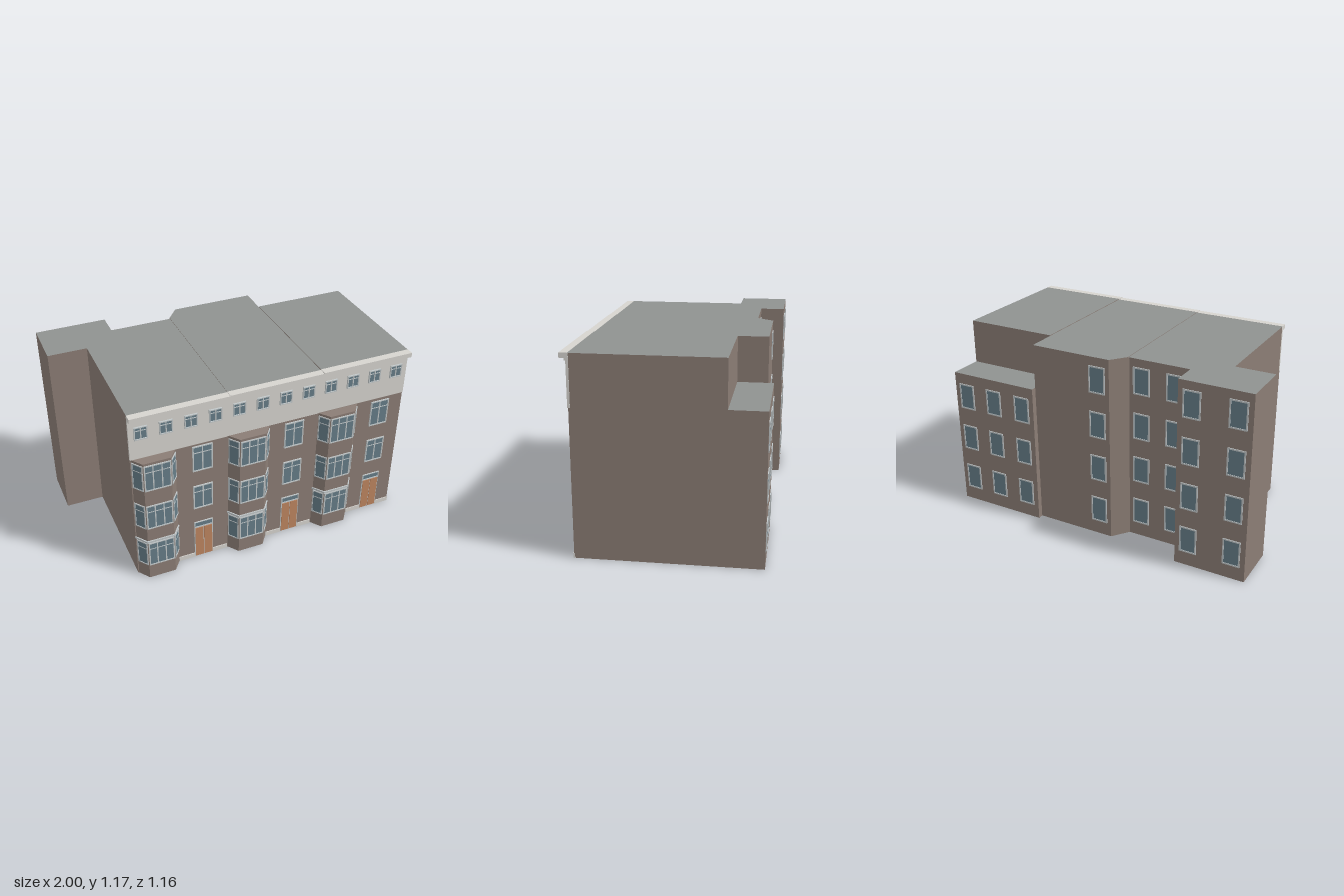
import * as THREE from 'three';

const mat = (color) => new THREE.MeshStandardMaterial({ color });
const brick = mat(0x8b7d75), roofGrey = mat(0x8f9290), white = mat(0xd6d4cf);
const glass = mat(0x667d88), frameGrey = mat(0xc2c8ca), wood = mat(0xbd8560);

const FRONT = 0.505;    // front wall plane
const PITCH = 0.587;    // width of one house in the terrace
const LEFT = -0.76;

function add(parent, name, geometry, material) {
  const mesh = new THREE.Mesh(geometry, material);
  mesh.name = name;
  parent.add(mesh);
  return mesh;
}

// Box given by its limits
function block(parent, name, material, x0, x1, y0, y1, z0, z1) {
  const m = add(parent, name, new THREE.BoxGeometry(x1 - x0, y1 - y0, z1 - z0), material);
  m.position.set((x0 + x1) / 2, (y0 + y1) / 2, (z0 + z1) / 2);
  return m;
}

// Upright prism over a plan of [x, z] points
function prism(parent, name, plan, y0, y1, material) {
  const shape = new THREE.Shape(plan.map(([x, z]) => new THREE.Vector2(x, -z)));
  const g = new THREE.ExtrudeGeometry(shape, { depth: y1 - y0, bevelEnabled: false });
  g.rotateX(-Math.PI / 2).translate(0, y0, 0);
  return add(parent, name, g, material);
}

// Framed window facing +z, centred on its own origin
function makeWindow(name, w, h, { panes = 1, transom = 0, depth = 0.008, bar = 0.007 } = {}) {
  const win = new THREE.Group();
  win.name = name;
  const outer = new THREE.Shape();
  outer.moveTo(-w / 2, -h / 2).lineTo(w / 2, -h / 2).lineTo(w / 2, h / 2).lineTo(-w / 2, h / 2).closePath();
  const hole = new THREE.Path(), a = w / 2 - bar, b = h / 2 - bar;
  hole.moveTo(-a, -b).lineTo(-a, b).lineTo(a, b).lineTo(a, -b).closePath();
  outer.holes.push(hole);
  add(win, 'windowFrame', new THREE.ExtrudeGeometry(outer, { depth, bevelEnabled: false }), frameGrey);
  block(win, 'windowGlass', glass, -a, a, -b, b, 0, depth * 0.4);
  for (let i = 1; i < panes; i++) {
    const x = -w / 2 + (w * i) / panes;
    block(win, 'mullion', frameGrey, x - bar / 2, x + bar / 2, -b, b, 0, depth * 0.8);
  }
  if (transom) {
    const y = h / 2 - h * transom;
    block(win, 'transomBar', frameGrey, -a, a, y - bar / 3, y + bar / 3, 0, depth * 0.7);
  }
  return win;
}

function place(parent, win, x, y, z, turn = 0) {
  win.position.set(x, y, z);
  win.rotation.y = turn;
  parent.add(win);
}

// Three-sided bay with windows on each floor, centred on x = 0
function makeBay() {
  const bay = new THREE.Group();
  bay.name = 'bay';
  const plan = (o) => [[-0.131 - o, FRONT - 0.01], [-0.131 - o, FRONT], [-0.083 - o * 0.6, 0.57 + o],
    [0.083 + o * 0.6, 0.57 + o], [0.131 + o, FRONT], [0.131 + o, FRONT - 0.01]];
  prism(bay, 'bayWall', plan(0), 0, 0.868, brick);
  prism(bay, 'bayLedge', plan(0.007), 0.283, 0.297, frameGrey);
  const turn = Math.atan2(0.065, 0.048);
  for (const [y, h] of [[0.19, 0.175], [0.477, 0.172], [0.763, 0.178]]) {
    place(bay, makeWindow('bayFrontWindow', 0.16, h, { panes: 3, transom: 0.27, depth: 0.006 }), 0, y, 0.57);
    for (const s of [-1, 1])
      place(bay, makeWindow('baySideWindow', 0.074, h, { transom: 0.27, depth: 0.005 }), s * 0.107, y, 0.5375, s * turn);
  }
  return bay;
}

// Double door with a glazed light above, centred on x = 0
function makeDoor() {
  const door = new THREE.Group();
  door.name = 'frontDoor';
  block(door, 'doorFrame', frameGrey, -0.06, 0.06, 0.005, 0.24, FRONT - 0.005, FRONT + 0.004);
  for (const s of [-1, 1]) {
    const c = s * 0.0285;
    block(door, 'doorLeaf', wood, c - 0.026, c + 0.026, 0.008, 0.234, FRONT, FRONT + 0.008);
  }
  place(door, makeWindow('doorLight', 0.12, 0.042, { depth: 0.007, bar: 0.005 }), 0, 0.26, FRONT);
  return door;
}

export function createModel() {
  const model = new THREE.Group();
  model.name = 'terraceBuilding';

  // Plans of the three houses, each with its rear outline
  const x1 = LEFT + PITCH, x2 = LEFT + 2 * PITCH;
  const plans = [
    [[LEFT, FRONT], [x1, FRONT], [x1, -0.432], [-0.178, -0.425], [-0.56, -0.425],
      [-0.56, -0.577], [-1, -0.577], [-1, -0.27], [LEFT, -0.27]],
    [[x1, FRONT], [x2, FRONT], [x2, -0.525], [-0.1, -0.525], [x1, -0.432]],
    [[x2, FRONT], [1, FRONT], [1, -0.345], [x2, -0.345]],
  ];
  const heights = [1.165, 1.168, 1.172];

  // Walls as one body, with a stepped roof slab over each house
  const outline = [[LEFT, FRONT], [1, FRONT], [1, -0.345], [x2, -0.345], [x2, -0.525], [-0.1, -0.525],
    ...plans[0].slice(3)];
  prism(model, 'walls', outline, 0, 1.155, brick);
  plans.forEach((p, i) => prism(model, 'roof', p, 1.155, heights[i], [roofGrey, brick]));

  // Lower rear wing
  const wing = [[x2, -0.345], [1, -0.345], [1, -0.559], [x2, -0.559]];
  prism(model, 'rearWing', wing, 0, 0.88, brick);
  prism(model, 'rearWingRoof', wing, 0.88, 0.896, [roofGrey, brick]);

  // Front of each house
  for (let i = 0; i < 3; i++) {
    const house = new THREE.Group();
    house.name = 'houseFront';
    model.add(house);
    const x = LEFT + i * PITCH, top = heights[i], lift = i * 0.003;
    block(house, 'atticBand', white, x, x + PITCH, 0.868 + lift, top - 0.002, FRONT - 0.01, FRONT + 0.005);
    block(house, 'corniceMoulding', white, x, x + PITCH, top - 0.04, top - 0.027, FRONT, FRONT + 0.014);
    block(house, 'cornice', white, x, x + PITCH, top - 0.028, top + 0.001, FRONT - 0.005, 0.546);

    const bay = makeBay();
    bay.position.x = x + 0.137;
    house.add(bay);

    const doorX = x + 0.431;
    const door = makeDoor();
    door.position.x = doorX;
    house.add(door);
    block(house, 'plinth', white, x + 0.268, doorX - 0.06, 0, 0.03, FRONT - 0.005, FRONT + 0.005);
    block(house, 'plinth', white, doorX + 0.06, x + PITCH, 0, 0.03, FRONT - 0.005, FRONT + 0.005);

    for (const [y, h] of [[0.477, 0.172], [0.763, 0.178]])
      place(house, makeWindow('frontWindow', 0.124, h, { panes: 2, transom: 0.27 }), doorX, y, FRONT);
    for (let k = 0; k < 4; k++)
      place(house, makeWindow('atticWindow', 0.078, 0.084, { panes: 2, transom: 0.3, bar: 0.006, depth: 0.01 }),
        x + 0.07 + k * 0.1468, 1.042 + lift, FRONT + 0.005);
  }

  // Rear windows: columns of [x, wall z, floors]
  const columns = [
    [0.915, -0.559, 3], [0.71, -0.559, 3], [0.5, -0.559, 3], [-0.02, -0.525, 4],
    [-0.257, -0.425, 4], [-0.47, -0.425, 4], [-0.644, -0.577, 4], [-0.915, -0.577, 4],
  ];
  for (const [x, z, floors] of columns)
    for (let f = 0; f < floors; f++)
      place(model, makeWindow('rearWindow', 0.108, 0.168, { depth: 0.005, bar: 0.009 }), x, 0.172 + f * 0.286, z, Math.PI);

  return model;
}
